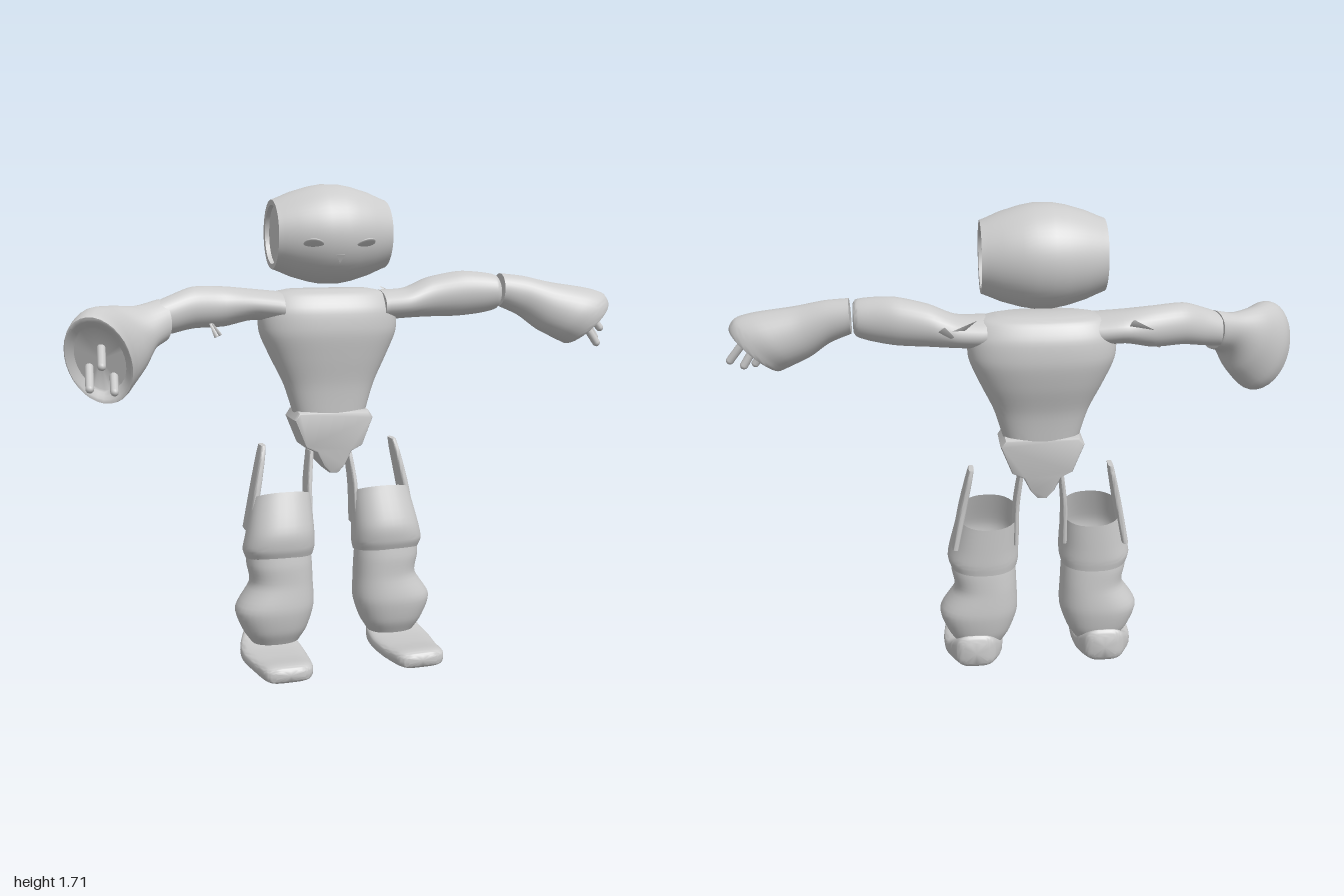
import * as THREE from 'three';
import { toCreasedNormals } from 'three/addons/utils/BufferGeometryUtils.js';

const V = (x, y, z) => new THREE.Vector3(x, y, z);
const MID = -0.07; // body centre line in x
const grey = new THREE.MeshStandardMaterial({ color: 0xcccccc, side: THREE.DoubleSide });
const pale = new THREE.MeshStandardMaterial({ color: 0xf4f4f4, side: THREE.DoubleSide });

function add(parent, name, geometry, material = grey) {
  const mesh = new THREE.Mesh(geometry, material);
  mesh.name = name;
  parent.add(mesh);
  return mesh;
}

// Smooth skin through rings { c, u, v }: centre and two half axes
function loft(rings, { power = 2, caps = [true, true], sub = 5, sides = 32 } = {}) {
  const curves = ['c', 'u', 'v'].map(k => new THREE.CatmullRomCurve3(rings.map(r => r[k]), false, 'catmullrom', 0.4));
  const steps = (rings.length - 1) * sub, pos = [], idx = [];
  const bend = t => Math.sign(t) * Math.abs(t) ** (2 / power);
  for (let i = 0; i <= steps; i++) {
    const [c, u, v] = curves.map(k => k.getPoint(i / steps));
    for (let j = 0; j < sides; j++) {
      const a = j / sides * Math.PI * 2;
      const p = c.clone().addScaledVector(u, bend(Math.cos(a))).addScaledVector(v, bend(Math.sin(a)));
      pos.push(p.x, p.y, p.z);
    }
  }
  const first = rings[0], last = rings[rings.length - 1];
  const axis = rings[1].c.clone().sub(first.c);
  const flip = axis.dot(first.u.clone().cross(first.v)) < 0;
  const tri = (a, b, c) => (flip ? idx.push(a, c, b) : idx.push(a, b, c));
  for (let i = 0; i < steps; i++) for (let j = 0; j < sides; j++) {
    const k = (j + 1) % sides, a = i * sides, b = a + sides;
    tri(a + j, a + k, b + j);
    tri(a + k, b + k, b + j);
  }
  [first, last].forEach((ring, e) => {
    if (!caps[e]) return;
    const n = pos.length / 3, o = e * steps * sides;
    pos.push(ring.c.x, ring.c.y, ring.c.z);
    for (let j = 0; j < sides; j++) {
      const k = (j + 1) % sides;
      if (e) tri(n, o + j, o + k); else tri(n, o + k, o + j);
    }
  });
  const g = new THREE.BufferGeometry();
  g.setAttribute('position', new THREE.Float32BufferAttribute(pos, 3));
  g.setIndex(idx);
  return toCreasedNormals(g, 0.75);
}

// Level ring from its extents; tilt lifts the front edge and drops the back
const level = (y, x0, x1, z0, z1, tilt = 0) => ({
  c: V((x0 + x1) / 2, y, (z0 + z1) / 2), u: V((x1 - x0) / 2, 0, 0), v: V(0, tilt, (z1 - z0) / 2) });
// Ring from a top point, a bottom point and a sideways half width
const span = (top, bottom, side, w) => {
  const a = V(...top), b = V(...bottom);
  return { c: a.clone().add(b).multiplyScalar(0.5), u: a.sub(b).multiplyScalar(0.5), v: V(...side).normalize().multiplyScalar(w) };
};
const armRing = (x, y, z, ry, rz) => ({ c: V(x, y, z), u: V(0, ry, 0), v: V(0, 0, rz) });

function rod(parent, name, a, b, r) {
  const from = V(...a), d = V(...b).sub(from);
  const m = add(parent, name, new THREE.CapsuleGeometry(r, d.length(), 5, 10));
  m.position.copy(from).addScaledVector(d, 0.5);
  m.quaternion.setFromUnitVectors(V(0, 1, 0), d.normalize());
}

function makeHead() {
  const head = new THREE.Group();
  head.name = 'head';
  head.position.set(MID, 1.533, -0.1);
  // Barrel lying along x with recessed end discs
  const half = [[0, 0.19], [0.1, 0.19], [0.102, 0.205], [0.12, 0.206], [0.128, 0.185], [0.147, 0.14], [0.166, 0.075], [0.174, 0.03]];
  const pts = [...half.map(([r, x]) => [r, -x]), ...half.slice().reverse()].map(p => new THREE.Vector2(...p));
  const shell = add(head, 'headShell', toCreasedNormals(new THREE.LatheGeometry(pts, 56), 0.5));
  shell.rotation.z = -Math.PI / 2;
  for (const s of [-1, 1]) {
    const eye = add(head, s > 0 ? 'leftEye' : 'rightEye', new THREE.SphereGeometry(0.036, 24, 12), pale);
    eye.scale.z = 0.22;
    eye.position.set(s * 0.093, -0.032, 0.154);
    eye.lookAt(s * 0.44, -0.24, 1.1);
  }
  const nose = add(head, 'nose', new THREE.CylinderGeometry(0.022, 0.022, 0.012, 3), pale);
  nose.rotation.x = Math.PI / 2 + 0.46;
  nose.scale.x = 0.8;
  nose.position.set(0, -0.076, 0.154);
  return head;
}

function makeTorso(g) {
  const rows = [[1.342, 0.15, -0.17, -0.05], [1.325, 0.215, -0.205, -0.015], [1.27, 0.25, -0.235, 0.018], [1.19, 0.25, -0.24, 0.025],
    [1.1, 0.212, -0.22, 0.01], [1, 0.165, -0.187, -0.01], [0.88, 0.128, -0.168, -0.022]];
  add(g, 'torso', loft(rows.map(([y, w, b, f]) => level(y, MID - w, MID + w, b, f)), { power: 2.5, sides: 48 }));
  // Pointed pelvis plate
  const side = [[0.125, 0.9], [0.138, 0.88], [0.1, 0.785], [0.06, 0.765], [0.035, 0.715], [0.012, 0.69]];
  const outline = [...side, ...side.slice().reverse().map(([x, y]) => [-x, y])].map(p => new THREE.Vector2(...p));
  const pelvis = add(g, 'pelvis', toCreasedNormals(new THREE.ExtrudeGeometry(new THREE.Shape(outline),
    { depth: 0.12, bevelSize: 0.008, bevelThickness: 0.016, bevelSegments: 3 }), 0.6));
  pelvis.position.set(MID, 0, -0.155);
}

function makeArms(g) {
  add(g, 'leftUpperArm', loft([armRing(0.12, 1.28, -0.1, 0.055, 0.1), armRing(0.22, 1.285, -0.105, 0.055, 0.085),
    armRing(0.31, 1.305, -0.1, 0.072, 0.072), armRing(0.42, 1.317, -0.08, 0.082, 0.07), armRing(0.5, 1.32, -0.06, 0.075, 0.065),
    armRing(0.55, 1.322, -0.048, 0.064, 0.06), armRing(0.562, 1.322, -0.045, 0.05, 0.05)]));
  add(g, 'rightUpperArm', loft([armRing(-0.25, 1.28, -0.1, 0.055, 0.1), armRing(-0.35, 1.29, -0.115, 0.055, 0.095),
    armRing(-0.45, 1.285, -0.11, 0.07, 0.075), armRing(-0.56, 1.285, -0.085, 0.072, 0.068), armRing(-0.64, 1.265, -0.06, 0.066, 0.06),
    armRing(-0.7, 1.25, -0.045, 0.058, 0.055)]));

  // Gloves: wrist to open palm, then a shallow hollow
  add(g, 'leftHand', loft([
    span([0.575, 1.39, -0.047], [0.57, 1.27, -0.047], [0, 0, 1], 0.058),
    span([0.66, 1.38, -0.03], [0.645, 1.235, -0.03], [0, 0, 1], 0.06),
    span([0.76, 1.357, -0.01], [0.71, 1.185, -0.01], [0, 0, 1], 0.074),
    span([0.9, 1.335, 0.003], [0.765, 1.155, 0.003], [0, 0, 1], 0.092),
    span([0.965, 1.315, 0.008], [0.8, 1.138, 0.008], [0, 0, 1], 0.092),
    span([0.985, 1.28, 0.008], [0.825, 1.13, 0.008], [0, 0, 1], 0.086),
    span([0.945, 1.28, 0.008], [0.82, 1.165, 0.008], [0, 0, 1], 0.07)]));
  add(g, 'rightHand', loft([
    span([-0.68, 1.318, -0.05], [-0.675, 1.175, -0.03], [0.5, 0, 0.85], 0.06),
    span([-0.76, 1.3, -0.02], [-0.72, 1.15, 0], [0.55, 0, 0.8], 0.065),
    span([-0.85, 1.305, 0.03], [-0.765, 1.08, 0], [0.7, 0, 0.6], 0.08),
    span([-0.915, 1.305, 0.1], [-0.83, 1.01, 0.03], [0.9, 0.1, 0.4], 0.1),
    span([-0.94, 1.28, 0.175], [-0.865, 0.985, 0.065], [1, 0.1, 0.3], 0.106),
    span([-0.925, 1.24, 0.135], [-0.865, 1.03, 0.055], [1, 0.1, 0.3], 0.08)]));
  const left = [[[0.86, 1.22, 0.06], [0.915, 1.135, 0.075]], [[0.9, 1.22, 0.005], [0.945, 1.15, 0.005]], [[0.93, 1.25, -0.04], [0.985, 1.18, -0.03]]];
  const right = [[[-0.89, 1.19, 0.09], [-0.9, 1.125, 0.2]], [[-0.93, 1.11, 0.08], [-0.937, 1.05, 0.165]], [[-0.85, 1.09, 0.06], [-0.858, 1.035, 0.15]]];
  left.forEach(([a, b]) => rod(g, 'leftFinger', a, b, 0.014));
  right.forEach(([a, b]) => rod(g, 'rightFinger', a, b, 0.014));

  // Loose slivers round the shoulder joints
  const slivers = [[-0.5, 1.225, -0.05, 0.4], [-0.4, 1.31, -0.2, 2], [0.19, 1.32, -0.19, 0.9], [0.24, 1.29, -0.19, 2.4]];
  for (const [x, y, z, turn] of slivers) {
    const s = add(g, 'shoulderSliver', new THREE.ConeGeometry(0.018, 0.09, 3));
    s.position.set(x, y, z);
    s.scale.z = 0.2;
    s.rotation.set(-0.5, 0, turn);
  }
}

function makeLeg(s) {
  const leg = new THREE.Group();
  leg.name = s > 0 ? 'leftLeg' : 'rightLeg';
  const place = rows => rows.map(([y, x0, x1, z0, z1, t]) => {
    const a = MID + s * (x0 - MID), b = MID + s * (x1 - MID);
    return level(y, Math.min(a, b), Math.max(a, b), z0, z1, t);
  });
  // Open thigh shell, higher at the front
  add(leg, 'thigh', loft(place([[0.385, 0.012, 0.255, -0.145, 0.045, 0.012], [0.42, 0.005, 0.265, -0.15, 0.058, 0.012],
    [0.48, 0.006, 0.252, -0.152, 0.058, 0.015], [0.595, 0.01, 0.225, -0.155, 0.005, 0.035]]), { power: 2.3, caps: [false, false] }));
  // Upright strips at the hip
  add(leg, 'outerStrip', loft(place([[0.48, 0.226, 0.25, -0.145, -0.03], [0.63, 0.195, 0.222, -0.14, -0.04], [0.74, 0.175, 0.197, -0.145, -0.06],
    [0.785, 0.168, 0.186, -0.14, -0.08]]), { power: 4 }));
  add(leg, 'innerStrip', loft(place([[0.48, 0.008, 0.028, -0.12, -0.02], [0.63, 0.006, 0.026, -0.13, -0.04], [0.76, -0.008, 0.01, -0.14, -0.07]]), { power: 4 }));
  add(leg, 'shin', loft(place([[0.07, 0.065, 0.24, -0.12, 0.02], [0.12, 0.035, 0.272, -0.14, 0.045], [0.2, 0.01, 0.297, -0.153, 0.06],
    [0.29, 0.012, 0.243, -0.148, 0.05], [0.36, 0.015, 0.252, -0.145, 0.05], [0.41, 0.02, 0.252, -0.14, 0.045]]), { power: 2.3 }));
  // Foot from heel to toe: z, x extents, sole height, top height
  const foot = [[-0.165, 0.125, 0.215, 0.03, 0.115], [-0.15, 0.1, 0.24, 0.012, 0.14], [-0.11, 0.078, 0.262, 0.01, 0.115], [-0.06, 0.067, 0.28, 0.01, 0.085],
    [0.02, 0.062, 0.285, 0.014, 0.075], [0.13, 0.068, 0.272, 0.02, 0.078], [0.22, 0.08, 0.262, 0.027, 0.088], [0.255, 0.095, 0.248, 0.03, 0.086], [0.266, 0.12, 0.22, 0.04, 0.075]];
  add(leg, 'foot', loft(foot.map(([z, x0, x1, y0, y1]) => ({
    c: V(MID + s * ((x0 + x1) / 2 - MID), (y0 + y1) / 2 - 0.01, z), u: V((x1 - x0) / 2, 0, 0), v: V(0, (y1 - y0) / 2, 0) })), { power: 3.5 }));
  return leg;
}

export function createModel() {
  const g = new THREE.Group();
  g.name = 'robot';
  g.add(makeHead());
  makeTorso(g);
  makeArms(g);
  g.add(makeLeg(1), makeLeg(-1));
  return g;
}
